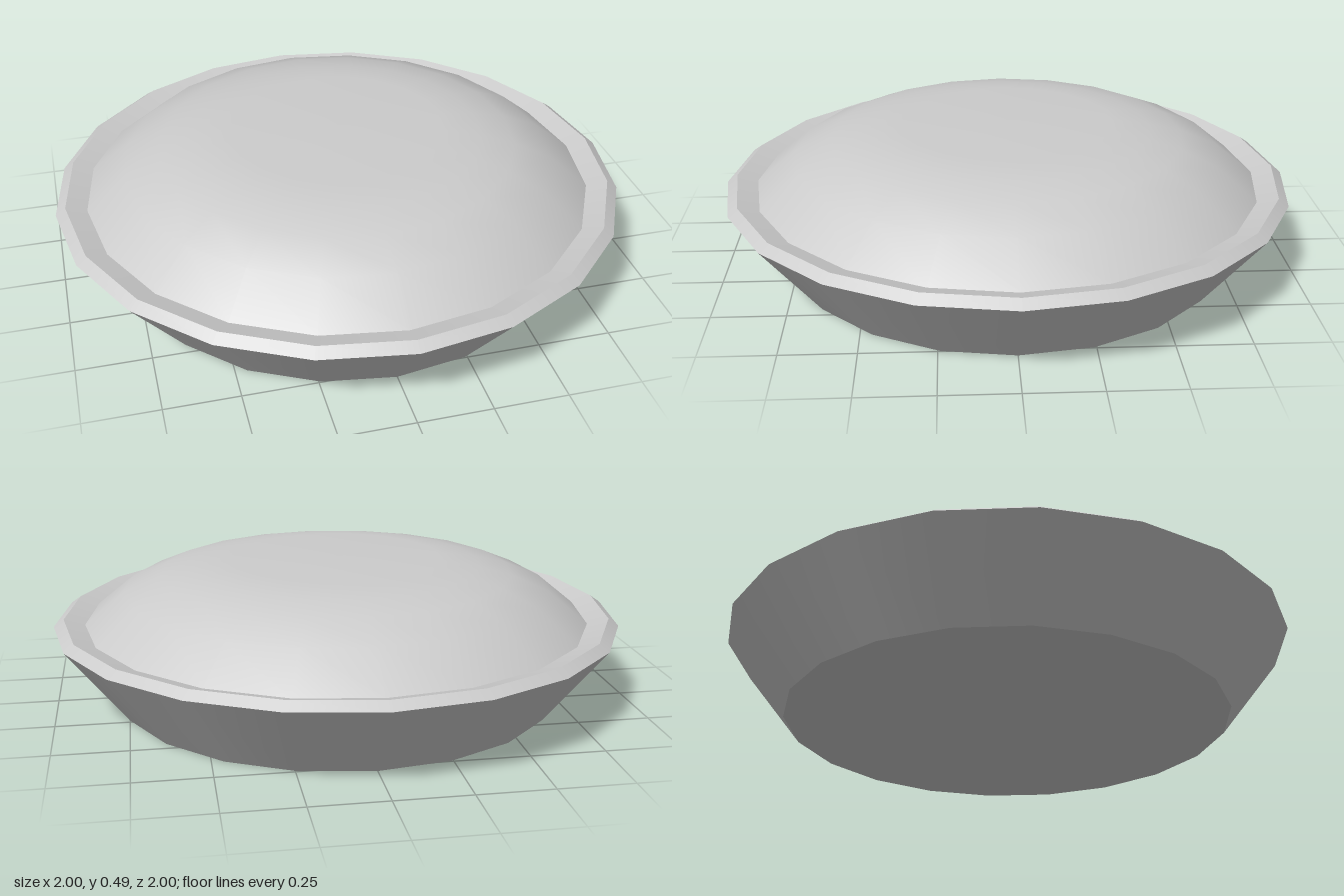
import * as THREE from 'three';

const SIDES = 20;

export function createModel() {
  const group = new THREE.Group();
  group.name = 'pie';
  const material = new THREE.MeshStandardMaterial({ color: 0xcccccc });

  // Each band is its own lathe, so it is smooth around but creased at its borders.
  // Profiles run as [radius, height] from the bottom centre, outward, up and back in.
  const band = (name, profile) => {
    const points = profile.map(([r, y]) => new THREE.Vector2(r, y));
    const mesh = new THREE.Mesh(new THREE.LatheGeometry(points, SIDES), material);
    mesh.name = name;
    group.add(mesh);
  };

  // Flared dish
  band('dishBase', [[0, 0], [0.785, 0]]);
  band('dishWall', [[0.785, 0], [1, 0.275]]);

  // Bevelled rim, sloping down inside to meet the crust
  band('rimOuterBevel', [[1, 0.275], [0.965, 0.3]]);
  band('rimInnerBevel', [[0.965, 0.3], [0.892, 0.278]]);

  // Domed crust with a flat top
  band('crust', [
    [0.892, 0.278], [0.755, 0.39], [0.625, 0.445], [0.51, 0.47], [0.375, 0.488], [0, 0.49],
  ]);

  return group;
}
